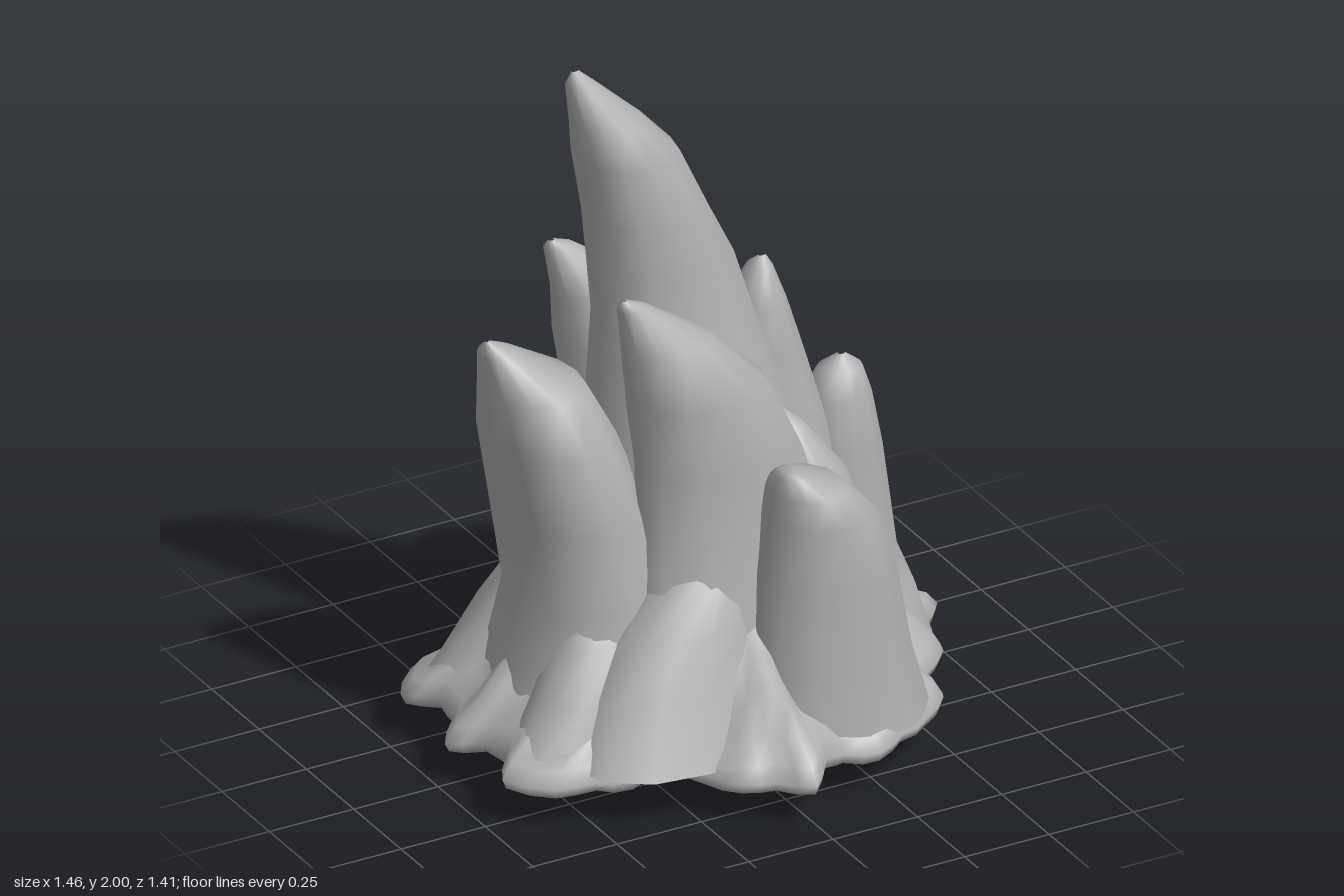
import * as THREE from 'three';

// Skin a stack of closed rings (each an array of [x, y, z]), listed bottom to top
function loft(rings) {
  const n = rings[0].length, index = [];
  for (let i = 0; i < rings.length - 1; i++) {
    for (let j = 0; j < n; j++) {
      const k = (j + 1) % n;
      const a = i * n + j, b = i * n + k, c = a + n, d = b + n;
      index.push(a, c, b, b, c, d);
    }
  }
  const geometry = new THREE.BufferGeometry();
  geometry.setAttribute('position', new THREE.Float32BufferAttribute(rings.flat(2), 3));
  geometry.setIndex(index);
  geometry.computeVertexNormals();
  return geometry;
}

// Crystal from levels [y, xMin, xMax, zMin, zMax], with slightly angular rounded sections
function spire(levels, side = 1) {
  const sides = 12;
  return loft(levels.map(([y, x0, x1, z0, z1]) => Array.from({ length: sides }, (_, j) => {
    const t = j / sides * Math.PI * 2;
    const bulge = 1 + 0.05 * Math.sin(2 * t) ** 2;
    return [
      (x0 + x1) / 2 + (x1 - x0) / 2 * Math.cos(t) * bulge,
      y,
      side * (z0 + z1) / 2 + (z1 - z0) / 2 * Math.sin(t) * bulge,
    ];
  })));
}

// Spires standing on the centre line
const centreSpires = {
  mainSpire: [
    [0.2, -0.34, 0.42, -0.36, 0.36], [0.6, -0.3, 0.34, -0.3, 0.3], [0.95, -0.28, 0.25, -0.22, 0.22],
    [1.24, -0.27, 0.15, -0.17, 0.17], [1.4, -0.285, 0.1, -0.16, 0.16], [1.55, -0.3, 0.025, -0.15, 0.15],
    [1.73, -0.33, -0.06, -0.14, 0.14], [1.83, -0.345, -0.15, -0.095, 0.095],
    [1.96, -0.37, -0.29, -0.028, 0.028], [2, -0.355, -0.335, -0.005, 0.005],
  ],
  leftSpire: [
    [0.2, -0.58, -0.05, -0.3, 0.3], [0.5, -0.51, -0.1, -0.25, 0.25], [0.75, -0.55, -0.18, -0.24, 0.24],
    [0.98, -0.59, -0.27, -0.22, 0.22], [1.12, -0.605, -0.34, -0.15, 0.15],
    [1.24, -0.625, -0.53, -0.05, 0.05], [1.275, -0.61, -0.6, -0.005, 0.005],
  ],
  rightSpire: [
    [0.2, 0, 0.52, -0.2, 0.2], [0.6, 0.04, 0.44, -0.15, 0.15], [0.9, 0.08, 0.36, -0.11, 0.11],
    [1.06, 0.1, 0.31, -0.1, 0.1], [1.2, 0.125, 0.265, -0.085, 0.085],
    [1.29, 0.17, 0.235, -0.035, 0.035], [1.315, 0.2, 0.22, -0.005, 0.005],
  ],
  farRightSpire: [
    [0.12, 0.26, 0.69, -0.17, 0.17], [0.28, 0.28, 0.645, -0.12, 0.12], [0.4, 0.3, 0.595, -0.1, 0.1],
    [0.7, 0.33, 0.55, -0.1, 0.1], [0.86, 0.345, 0.52, -0.085, 0.085],
    [0.93, 0.38, 0.5, -0.05, 0.05], [0.965, 0.435, 0.455, -0.008, 0.008],
  ],
  // Blunt root of the cluster showing below the base
  rootCrystal: [
    [0.005, 0.15, 0.18, -0.008, 0.008], [0.03, 0.1, 0.37, -0.045, 0.045],
    [0.09, 0.03, 0.44, -0.11, 0.11], [0.2, -0.04, 0.47, -0.17, 0.17], [0.3, 0, 0.4, -0.1, 0.1],
  ],
};

// Spires repeated on the front and back
const pairedSpires = {
  shoulderSpire: [
    [0.2, -0.32, 0.36, 0.05, 0.42], [0.6, -0.27, 0.3, 0.02, 0.36], [0.88, -0.255, 0.21, 0.02, 0.33],
    [1.1, -0.28, 0.1, 0.04, 0.345], [1.25, -0.3, -0.05, 0.09, 0.28],
    [1.38, -0.325, -0.24, 0.165, 0.225], [1.405, -0.315, -0.3, 0.185, 0.2],
  ],
  outerSpire: [
    [0.15, -0.04, 0.47, 0.2, 0.57], [0.35, -0.03, 0.41, 0.22, 0.555], [0.6, -0.015, 0.36, 0.24, 0.555],
    [0.78, 0.005, 0.29, 0.27, 0.55], [0.86, 0.01, 0.21, 0.3, 0.53],
    [0.91, 0.02, 0.1, 0.37, 0.48], [0.92, 0.04, 0.06, 0.42, 0.44],
  ],
  innerRidge: [
    [0.2, 0.05, 0.5, 0.08, 0.42], [0.55, 0.1, 0.4, 0.08, 0.36],
    [0.78, 0.13, 0.33, 0.08, 0.3], [0.9, 0.15, 0.24, 0.1, 0.2], [0.94, 0.17, 0.19, 0.13, 0.15],
  ],
  lowMound: [
    [0.15, -0.53, 0.06, 0.12, 0.52], [0.32, -0.45, 0.04, 0.12, 0.45], [0.47, -0.34, 0.02, 0.12, 0.4],
    [0.6, -0.22, 0, 0.14, 0.34], [0.68, -0.14, -0.1, 0.2, 0.25],
  ],
  rearMound: [
    [0.15, -0.66, -0.3, 0.1, 0.36], [0.3, -0.56, -0.28, 0.08, 0.32],
    [0.43, -0.48, -0.28, 0.06, 0.26], [0.52, -0.42, -0.32, 0.1, 0.18],
  ],
};

// Half of the base outline as [x, z], from right round the front to left
const rim = [
  [0.73, 0], [0.66, 0.07], [0.64, 0.13], [0.63, 0.21], [0.54, 0.28], [0.46, 0.31], [0.5, 0.4], [0.49, 0.46],
  [0.42, 0.51], [0.32, 0.55], [0.23, 0.6], [0.13, 0.58], [0.06, 0.61], [-0.02, 0.705], [-0.09, 0.62],
  [-0.18, 0.59], [-0.24, 0.49], [-0.32, 0.4], [-0.42, 0.44], [-0.5, 0.385], [-0.62, 0.38], [-0.71, 0.27],
  [-0.65, 0.18], [-0.66, 0.08], [-0.73, 0],
];

// Spreading rocky base: profile of [scale, y, lumpiness], from hollow underside over the rim to the top
function baseGeometry() {
  const profile = [
    [0.001, 0.26, 0], [0.4, 0.23, 0.02], [0.65, 0.16, 0.03], [0.82, 0.13, 0.02], [0.92, 0.105, 0.008],
    [0.985, 0.112, 0.01], [1, 0.14, 0.012], [0.96, 0.18, 0.015], [0.88, 0.225, 0.02],
    [0.78, 0.29, 0.03], [0.66, 0.38, 0.03], [0.5, 0.5, 0.02], [0.3, 0.6, 0], [0.001, 0.65, 0],
  ];
  const half = [];
  rim.forEach(([x, z], i) => {
    half.push([x, z]);
    const next = rim[i + 1];
    if (next) {
      const mx = (x + next[0]) / 2, mz = (z + next[1]) / 2;
      half.push([mx * 1.012, mz * 1.012]);
    }
  });
  const outline = [...half, ...half.slice(1, -1).reverse().map(([x, z]) => [x, -z])];
  return loft(profile.map(([s, y, lump]) => outline.map(([x, z]) => {
    const r = Math.hypot(x, z), a = Math.abs(Math.atan2(z, x));
    // Lobes fade into a rounder outline toward the middle
    const k = s * (s * r + (1 - s) * 0.64) / r;
    const wave = Math.sin(a * 9 + s * 7) + 0.6 * Math.sin(a * 17 - s * 11);
    return [x * k, y + lump * wave, z * k];
  })));
}

export function createModel() {
  const model = new THREE.Group();
  model.name = 'crystalCluster';
  const stone = new THREE.MeshStandardMaterial({ color: 0xb0b0b0 });
  stone.name = 'grey stone';

  const add = (name, geometry) => {
    const mesh = new THREE.Mesh(geometry, stone);
    mesh.name = name;
    model.add(mesh);
  };

  add('rockyBase', baseGeometry());
  for (const [name, levels] of Object.entries(centreSpires)) add(name, spire(levels));
  for (const [name, levels] of Object.entries(pairedSpires)) {
    add(name + 'Front', spire(levels, 1));
    add(name + 'Back', spire(levels, -1));
  }
  return model;
}
